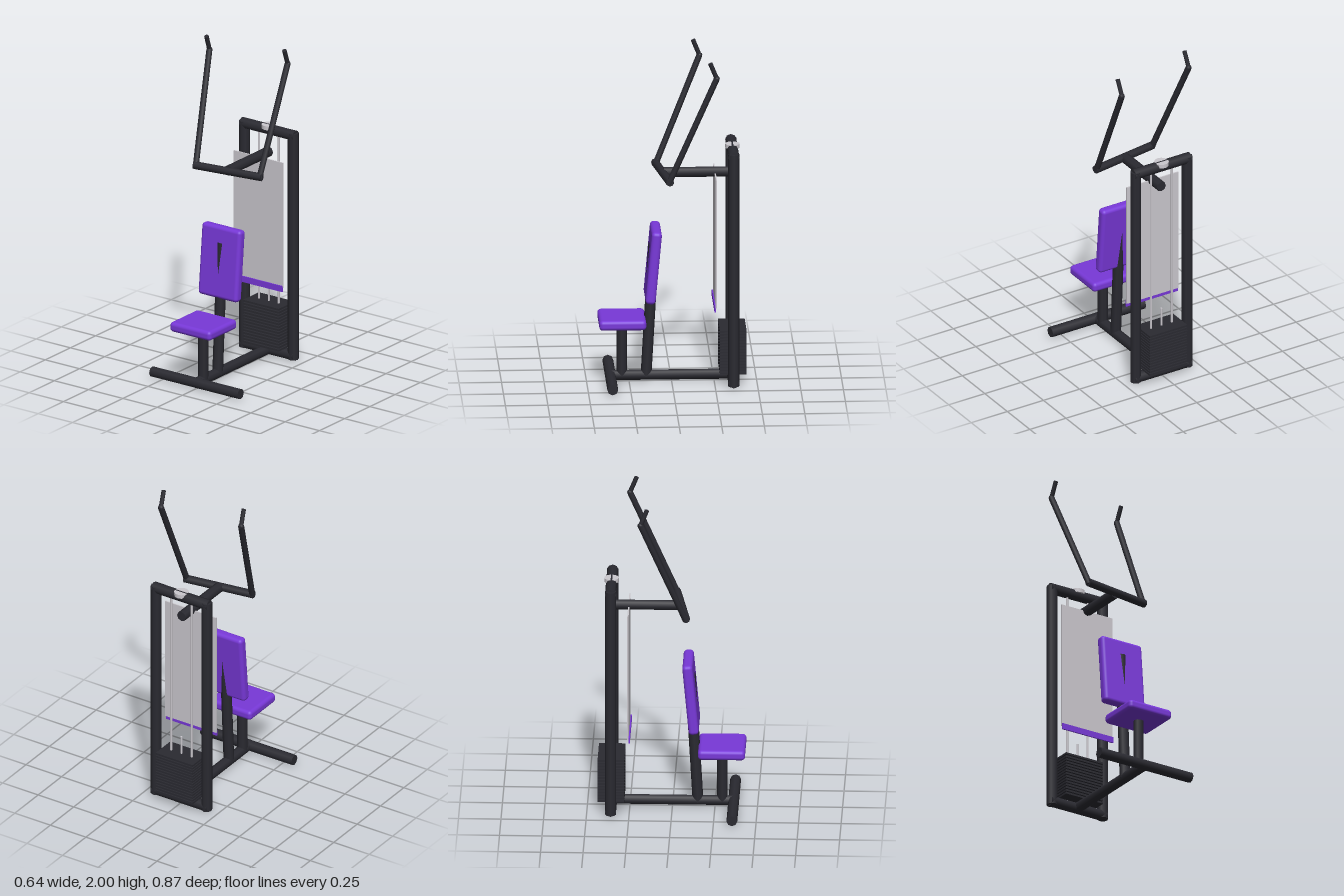
import * as THREE from 'three';
import { RoundedBoxGeometry } from 'three/addons/geometries/RoundedBoxGeometry.js';

const material = (name, color) => {
  const m = new THREE.MeshStandardMaterial({ color });
  m.name = name;
  return m;
};

export function createModel() {
  const model = new THREE.Group();
  model.name = 'pulldownMachine';
  const steel = material('dark steel', 0x2a2a31);
  const purple = material('purple padding', 0x7838d8);
  const silver = material('silver', 0xcbc8ce);

  const add = (name, geometry, mat, x = 0, y = 0, z = 0) => {
    const mesh = new THREE.Mesh(geometry, mat);
    mesh.name = name;
    mesh.position.set(x, y, z);
    model.add(mesh);
    return mesh;
  };

  // Straight octagonal tube between two points
  const tube = (name, from, to, radius, mat = steel) => {
    const a = new THREE.Vector3(...from);
    const b = new THREE.Vector3(...to);
    const dir = b.clone().sub(a);
    const mesh = add(name, new THREE.CylinderGeometry(radius, radius, dir.length(), 8), mat);
    mesh.position.copy(a).add(b).multiplyScalar(0.5);
    mesh.quaternion.setFromUnitVectors(new THREE.Vector3(0, 1, 0), dir.normalize());
    return mesh;
  };

  // Base and rear tower
  const R = 0.033, towerZ = -0.358, towerX = 0.178, topY = 1.412;
  tube('frontFoot', [-0.322, 0.036, 0.36], [0.322, 0.036, 0.36], 0.032);
  tube('baseSpine', [0, 0.036, 0.36], [0, 0.036, towerZ], 0.031);
  tube('towerBottomBeam', [-0.195, R, towerZ], [0.195, R, towerZ], R);
  tube('towerTopBeam', [-0.195, topY, towerZ], [0.195, topY, towerZ], R);
  for (const side of [-1, 1]) {
    tube('towerUpright', [side * towerX, 0.01, towerZ], [side * towerX, topY + 0.015, towerZ], R);
    tube('guideRod', [side * 0.072, 0.05, towerZ], [side * 0.072, 1.4, towerZ], 0.007, silver);
  }
  add('topPulley', new THREE.CylinderGeometry(0.043, 0.043, 0.024, 24), silver, 0, 1.431, towerZ);

  // Weight stack with its short selector rod
  for (let i = 0; i < 15; i++) {
    add('weightPlate', new THREE.BoxGeometry(0.26, 0.012, 0.157), steel, 0, 0.073 + i * 0.0183, towerZ);
  }
  tube('selectorRod', [0, 0.06, towerZ], [0, 0.45, towerZ], 0.006, silver);

  // Shroud panel and its coloured lower trim
  add('shroudPanel', new THREE.BoxGeometry(0.358, 0.785, 0.008), silver, 0, 0.8775, -0.256);
  add('shroudTrim', new THREE.BoxGeometry(0.358, 0.037, 0.008), purple, 0, 0.48, -0.249);

  // Seat and backrest
  tube('seatPost', [0, 0.036, 0.293], [0, 0.36, 0.293], 0.031);
  add('seat', new RoundedBoxGeometry(0.298, 0.06, 0.277, 4, 0.022), purple, 0, 0.375, 0.292);
  tube('backrestPost', [0, 0.03, 0.15], [0, 0.842, 0.104], 0.032);
  const backrest = add('backrest', new RoundedBoxGeometry(0.285, 0.44, 0.06, 4, 0.022), purple, 0, 0.72, 0.11);
  backrest.rotation.x = -0.092;

  // Overhead boom with the swivelled pull bar
  const barY = 1.272;
  tube('boom', [0, barY, towerZ], [0, barY, 0.045], 0.031);
  tube('pullBar', [-0.217, barY, 0.087], [0.225, barY, 0.018], 0.024);

  // Arms and bent handles: foot, elbow, tip
  const arms = [
    [[-0.208, 1.262, 0.085], [-0.301, 1.9, -0.178], [-0.295, 1.995, -0.14]],
    [[0.211, 1.262, 0.025], [0.211, 1.9, -0.257], [0.216, 1.995, -0.218]],
  ];
  for (const [foot, elbow, tip] of arms) {
    tube('arm', foot, elbow, 0.018);
    const joint = add('elbow', new THREE.SphereGeometry(0.0175, 8, 6), steel);
    joint.position.set(...elbow);
    tube('handle', elbow, tip, 0.0135);
  }

  return model;
}
